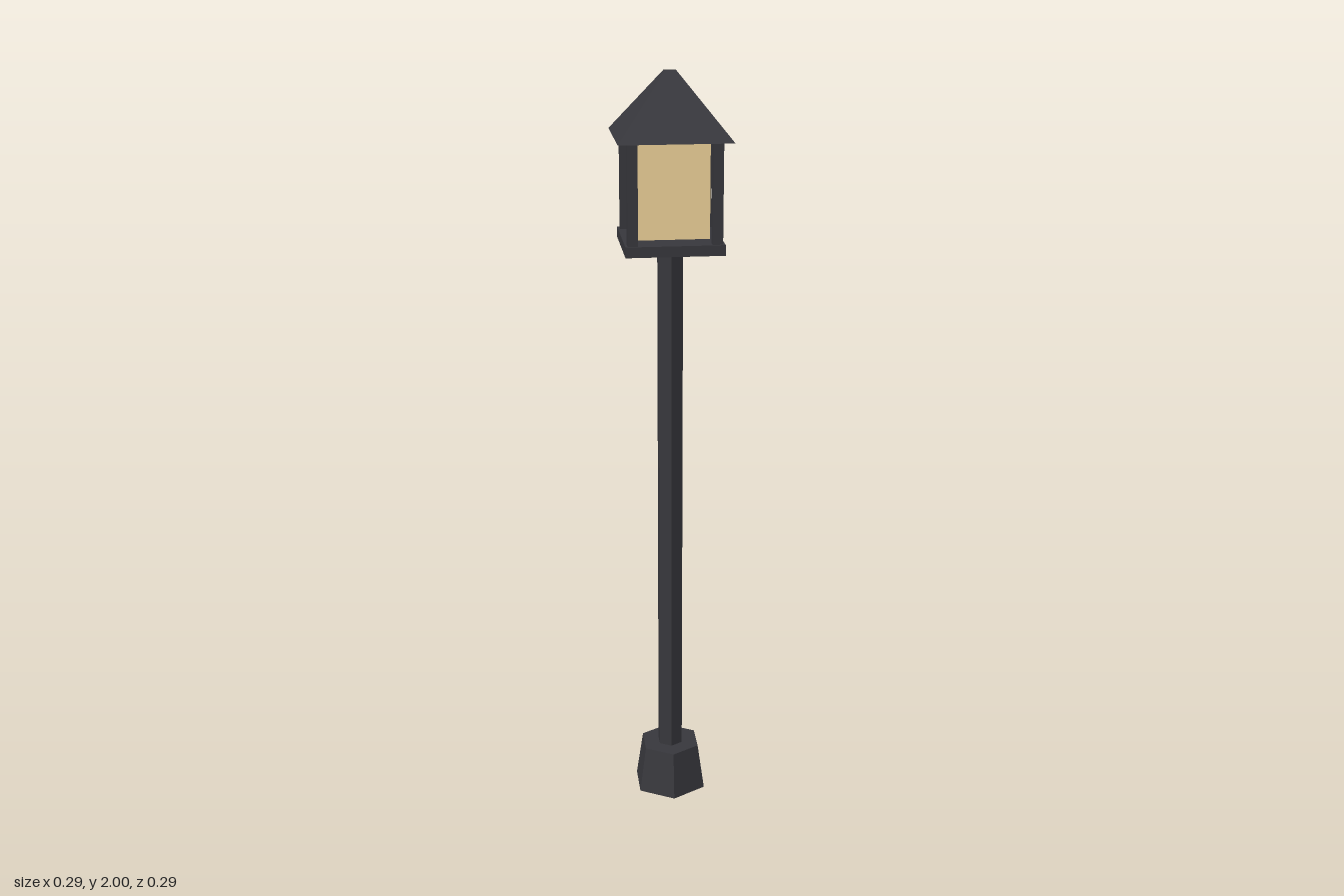
import * as THREE from 'three';

const iron = new THREE.MeshStandardMaterial({ color: 0x38383d, flatShading: true });
const glow = new THREE.MeshStandardMaterial({ color: 0xf0d49a, flatShading: true });

export function createModel() {
  const lamp = new THREE.Group();
  lamp.name = 'streetLamp';

  // Places a part so that it spans from y0 upwards
  function add(name, geometry, material, y0, height, x = 0, z = 0) {
    const mesh = new THREE.Mesh(geometry, material);
    mesh.name = name;
    mesh.position.set(x, y0 + height / 2, z);
    lamp.add(mesh);
    return mesh;
  }
  const hex = (top, bottom, h) => new THREE.CylinderGeometry(top, bottom, h, 6);

  // Hexagonal foot and pole
  add('foot', hex(0.085, 0.105, 0.13), iron, 0, 0.13);
  add('pole', hex(0.036, 0.036, 1.45), iron, 0.1, 1.45);

  // Lantern floor, standing just clear of the pole
  add('lanternFloor', new THREE.BoxGeometry(0.25, 0.027, 0.25), iron, 1.561, 0.027);

  // Glowing glass body, inset from the posts
  add('glass', new THREE.BoxGeometry(0.18, 0.236, 0.18), glow, 1.597, 0.236);

  // Four corner posts
  for (const x of [-0.106, 0.106]) {
    for (const z of [-0.106, 0.106]) {
      add('cornerPost', new THREE.BoxGeometry(0.026, 0.254, 0.026), iron, 1.588, 0.254, x, z);
    }
  }

  // Square hipped roof with a small flat tip
  const roof = new THREE.CylinderGeometry(0.015 * Math.SQRT2, 0.143 * Math.SQRT2, 0.159, 4);
  roof.rotateY(Math.PI / 4);
  add('roof', roof, iron, 1.841, 0.159);

  return lamp;
}
